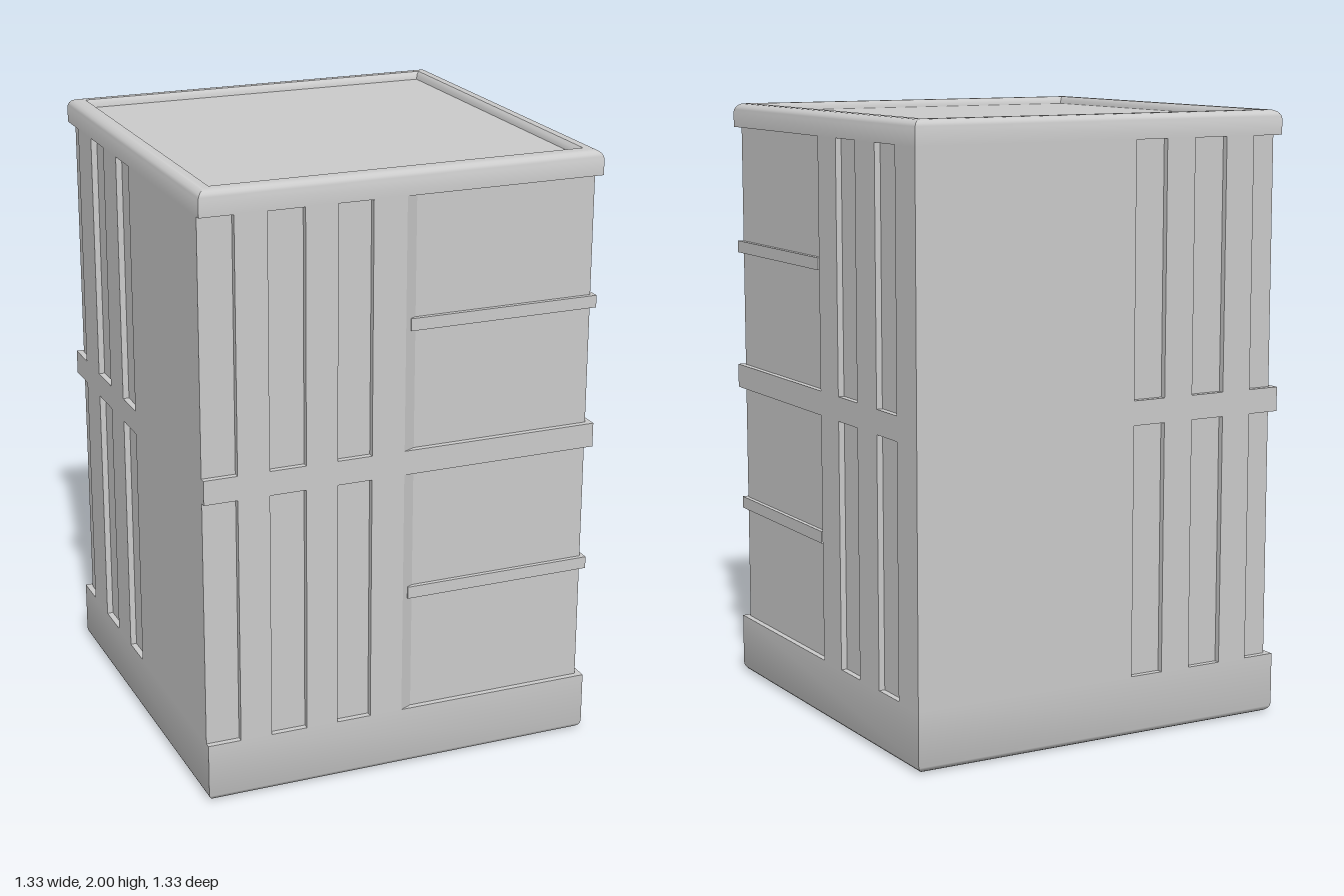
import * as THREE from 'three';
import { toCreasedNormals } from 'three/addons/utils/BufferGeometryUtils.js';

const H = 0.665; // half width of the outer walls
const D = 0.645; // half width at the bottom of the recesses
const material = new THREE.MeshStandardMaterial({ color: 0xcccccc });

// Vertical prism from a floor plan of [x, z] corners
function prism(name, plan, y0, y1) {
  const shape = new THREE.Shape(plan.map(([x, z]) => new THREE.Vector2(x, -z)));
  const geometry = new THREE.ExtrudeGeometry(shape, { depth: y1 - y0, bevelEnabled: false });
  geometry.rotateX(-Math.PI / 2).translate(0, y0, 0);
  const mesh = new THREE.Mesh(geometry, material);
  mesh.name = name;
  return mesh;
}

// Square slab from a profile of [half width, y], listed from bottom to top
function squareLathe(name, profile) {
  const points = profile.map(([w, y]) => new THREE.Vector2(w * Math.SQRT2, y));
  const geometry = new THREE.LatheGeometry(points, 4).rotateY(Math.PI / 4);
  const mesh = new THREE.Mesh(toCreasedNormals(geometry, 0.6), material);
  mesh.name = name;
  return mesh;
}

// Quarter-round edge as profile points
function roundEdge(w, y, r, from, to) {
  return Array.from({ length: 6 }, (_, i) => {
    const a = from + (to - from) * i / 5;
    return [w + r * Math.cos(a), y + r * Math.sin(a)];
  });
}

// Floor plan with vertical window strips and the wide corner window
function storeyPlan() {
  const frontStrips = [[-0.45, -0.33], [-0.225, -0.11]];
  const rightStrips = [[-0.13, -0.265], [-0.4, -0.535]];
  const leftStrips = [[-0.4, -0.265], [-0.13, 0]];
  const notch = (strips, place) => strips.flatMap(([a, b]) =>
    [place(a, H), place(a, D), place(b, D), place(b, H)]);
  const backStrips = frontStrips.map(([a, b]) => [b, a]).reverse();
  return [
    [-H, D], [-0.555, D], [-0.555, H],
    ...notch(frontStrips, (t, d) => [t, d]),
    [0, H], [0.04, D], [D, D], [D, 0.04], [H, 0],
    ...notch(rightStrips, (t, d) => [d, t]),
    [H, -H],
    ...notch(backStrips, (t, d) => [t, -d]),
    [-0.555, -H], [-0.555, -D], [-D, -D], [-D, -0.545], [-H, -0.545],
    ...notch(leftStrips, (t, d) => [-d, t]),
  ];
}

export function createModel() {
  const group = new THREE.Group();
  group.name = 'towerBlock';

  // Base with a rounded lower edge
  group.add(squareLathe('base', [
    [0, 0], ...roundEdge(H - 0.03, 0.03, 0.03, -Math.PI / 2, 0), [H, 0.2], [0, 0.2],
  ]));

  // Two storeys, each with a ledge across the corner window
  const plan = storeyPlan();
  const ledge = [[0.02, 0.66], [0.66, 0.66], [0.66, 0.02], [0.6, 0.02], [0.6, 0.6], [0.02, 0.6]];
  [0.2, 1.1].forEach((y, i) => {
    group.add(prism(`storey${i + 1}`, plan, y, y + 0.82));
    group.add(prism(`cornerLedge${i + 1}`, ledge, y + 0.39, y + 0.43));
  });

  // Band between the storeys
  group.add(prism('middleBand', [[-H, H], [H, H], [H, -H], [-H, -H]], 1.02, 1.1));

  // Roof with a rounded rim around a sunken deck
  group.add(squareLathe('roof', [
    [0, 1.92], [H, 1.92], ...roundEdge(H - 0.03, 1.97, 0.03, 0, Math.PI / 2),
    [0.615, 2], [0.605, 1.99], [0.602, 1.975], [0, 1.975],
  ]));

  return group;
}
